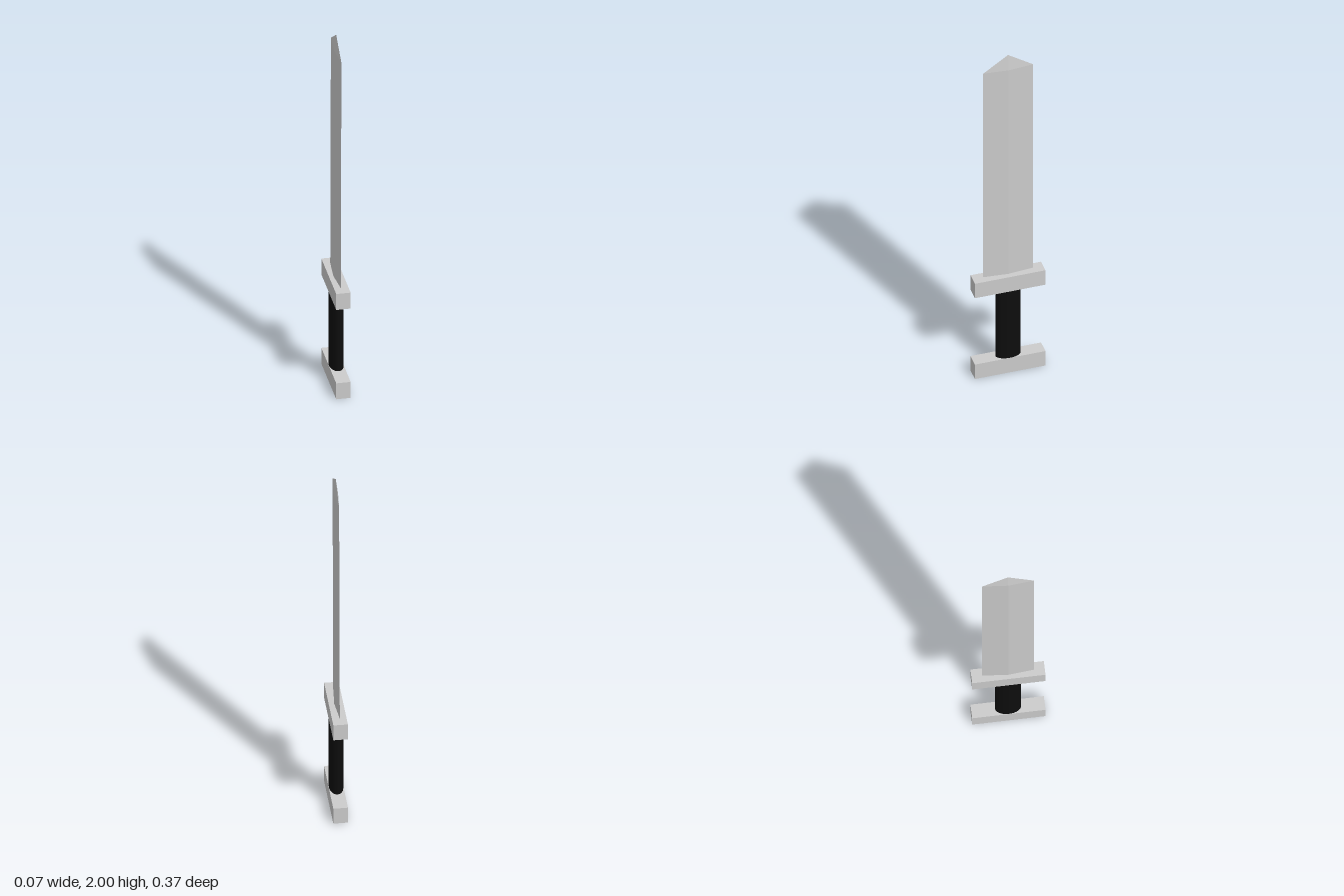
import * as THREE from 'three';

const steel = new THREE.MeshStandardMaterial({ color: 0xcccccc, flatShading: true });
const black = new THREE.MeshStandardMaterial({ color: 0x0d0d0d });

function part(name, geometry, material, y) {
  const mesh = new THREE.Mesh(geometry, material);
  mesh.name = name;
  mesh.position.y = y;
  return mesh;
}

export function createModel() {
  const group = new THREE.Group();
  group.name = 'sword';

  // Matching crossbars: pommel at the foot, guard under the blade
  const barHeight = 0.092;
  for (const [name, bottom] of [['pommel', 0], ['guard', 0.516]]) {
    group.add(part(name, new THREE.BoxGeometry(0.074, barHeight, 0.372), steel, bottom + barHeight / 2));
  }

  // Oval grip
  const grip = new THREE.CylinderGeometry(1, 1, 0.424, 32);
  grip.scale(0.036, 1, 0.066);
  group.add(part('grip', grip, black, 0.304));

  // Blade of diamond section with a pyramid tip, leaning very slightly
  const blade = new THREE.Group();
  blade.name = 'blade';
  const base = 0.608, shoulder = 1.91, top = 2;
  const body = new THREE.CylinderGeometry(1, 1, shoulder - base, 4);
  body.scale(0.0115, 1, 0.132);
  blade.add(part('bladeBody', body, steel, (base + shoulder) / 2));
  const tip = new THREE.ConeGeometry(1, top - shoulder, 4);
  tip.scale(0.0115, 1, 0.132);
  blade.add(part('bladeTip', tip, steel, (shoulder + top) / 2));
  blade.rotation.z = -0.0025;
  blade.position.x = -0.004;
  group.add(blade);

  return group;
}
